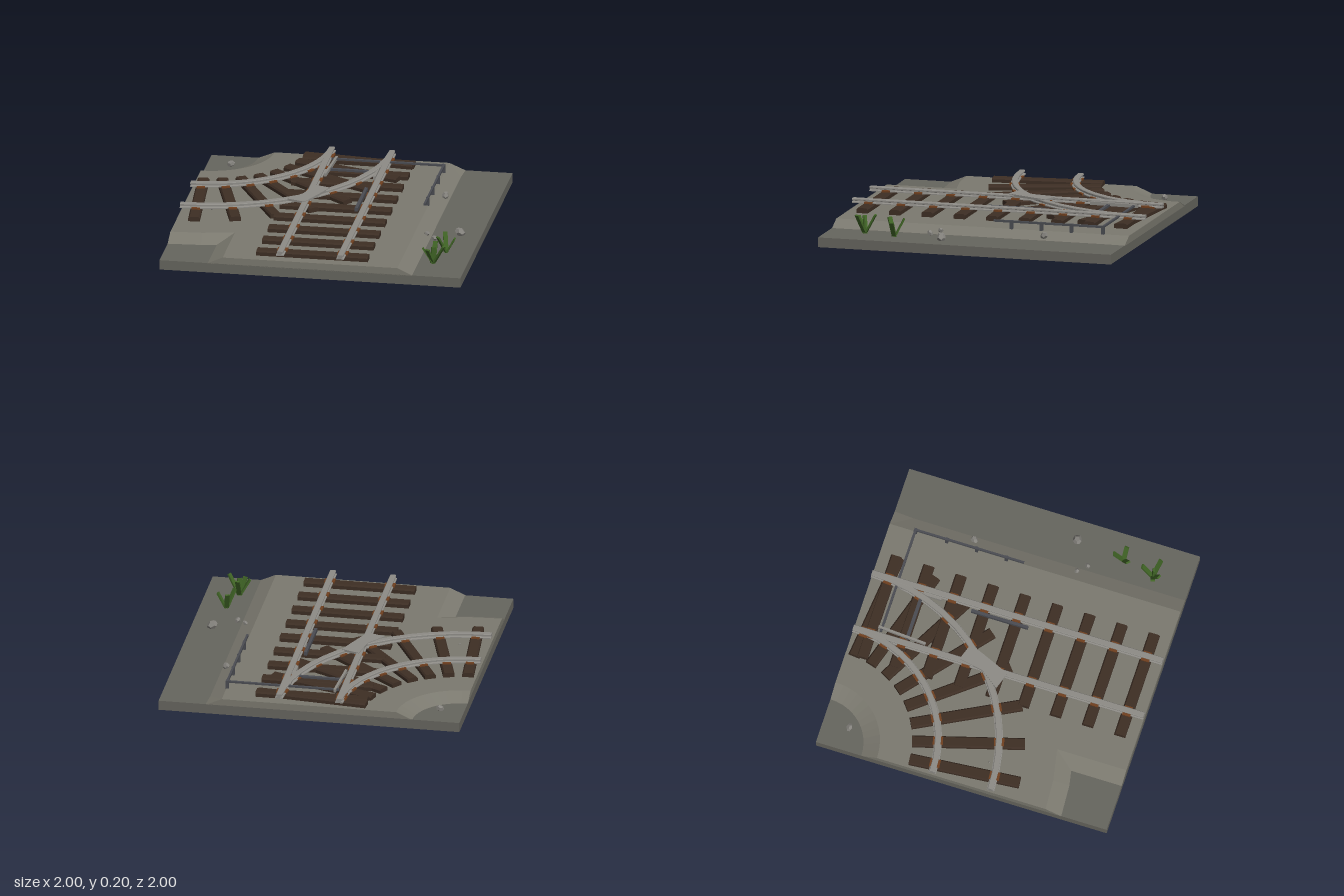
import * as THREE from 'three';

const material = (color) => new THREE.MeshStandardMaterial({ color, flatShading: true, side: THREE.DoubleSide });

export function createModel() {
  const model = new THREE.Group();
  const ground = material(0x66655e), gravel = material(0x7b796f), wood = material(0x3d2e24);
  const steel = material(0x8d8b86), rust = material(0x70401f), iron = material(0x4a4c52);
  const stone = material(0x85837e), leaf = material(0x3f6325);

  const add = (name, geometry, mat, x = 0, y = 0, z = 0, parent = model) => {
    const mesh = new THREE.Mesh(geometry, mat);
    mesh.name = name;
    mesh.position.set(x, y, z);
    parent.add(mesh);
    return mesh;
  };
  const box = (name, w, h, d, mat, x, y, z, parent) =>
    add(name, new THREE.BoxGeometry(w, h, d), mat, x, y, z, parent);
  // Closed outline pushed along z and centred
  const prism = (points, depth) => {
    const shape = new THREE.Shape(points.map(([x, y]) => new THREE.Vector2(x, y)));
    return new THREE.ExtrudeGeometry(shape, { depth, bevelEnabled: false }).translate(0, 0, -depth / 2);
  };
  // Quarter turn around the back left corner of the tile
  const quarter = (name, points, mat, segments) =>
    add(name, new THREE.LatheGeometry(points.map(([r, y]) => new THREE.Vector2(r, y)), segments, 0, Math.PI / 2),
      mat, -1, 0, -1);

  // Ground slab and the two gravel beds
  box('groundSlab', 2, 0.065, 2, ground, 0, 0.0325, 0);
  add('straightBed', prism([[-0.69, 0.06], [0.69, 0.06], [0.58, 0.11], [-0.58, 0.11]], 2), gravel);
  quarter('curvedBed', [[1.69, 0.064], [1.58, 0.11], [0.42, 0.11], [0.31, 0.064]], gravel, 12);
  // End walls of the curved bed
  const bedEnd = [[0.31, 0.06], [1.69, 0.06], [1.58, 0.11], [0.42, 0.11]];
  add('curvedBedEnd', prism(bedEnd, 0.004), gravel, -1, 0, -0.998);
  add('curvedBedEnd', prism(bedEnd, 0.004), gravel, -0.998, 0, -1).rotation.y = -Math.PI / 2;

  // Sleepers with chamfered edges, and a rusty plate under each rail
  const sleeperShape = prism([[-0.038, 0], [0.038, 0], [0.038, 0.024], [0.029, 0.034], [-0.029, 0.034], [-0.038, 0.024]], 0.74)
    .rotateY(Math.PI / 2);
  const sleeper = (name, x, y, z, turn) => {
    const group = new THREE.Group();
    group.name = name;
    group.position.set(x, y, z);
    group.rotation.y = turn;
    add('sleeperBeam', sleeperShape, wood, 0, 0, 0, group);
    for (const side of [-0.2, 0.2]) box('railPlate', 0.068, 0.014, 0.055, rust, side, 0.038, 0, group);
    model.add(group);
  };
  for (let i = 0; i < 9; i++) sleeper('straightSleeper', 0, 0.11, 0.887 - i * 0.2215, 0);
  for (let i = 0; i < 8; i++) {
    const a = THREE.MathUtils.degToRad(5 + i * 11.35);
    sleeper('curvedSleeper', -1 + Math.sin(a), 0.107, -1 + Math.cos(a), a - Math.PI / 2);
  }

  // Rails share one section: wide foot, thin web, rounded-off head
  const railSection = [[-0.026, 0.145], [0.026, 0.145], [0.026, 0.151], [0.01, 0.155], [0.01, 0.16], [0.02, 0.163],
    [0.02, 0.171], [0.016, 0.175], [-0.016, 0.175], [-0.02, 0.171], [-0.02, 0.163], [-0.01, 0.16], [-0.01, 0.155], [-0.026, 0.151]];
  for (const x of [-0.2, 0.2]) add('straightRail', prism(railSection, 2), steel, x);
  for (const r of [0.8, 1.2]) {
    quarter('curvedRail', [...railSection, railSection[0]].map(([x, y]) => [x + r, y - 0.001]), steel, 14);
    add('curvedRailEnd', prism(railSection, 0.004), steel, -0.998, -0.001, r - 1).rotation.y = -Math.PI / 2;
  }

  // Crossing plate where the rails meet
  const crossing = prism([[-0.2, 0.27], [-0.08, 0.23], [-0.12, 0.13], [-0.2, -0.06], [-0.32, -0.02], [-0.23, 0.1]], 0.014);
  add('crossingPlate', crossing.rotateX(-Math.PI / 2), steel, 0, 0.172, 0);

  // Guard rail, point blades and tie bar
  box('guardRail', 0.02, 0.025, 0.39, iron, 0.15, 0.157, -0.105);
  box('pointBlade', 0.016, 0.022, 0.33, steel, -0.152, 0.157, -0.68).rotation.y = -0.06;
  box('pointBlade', 0.016, 0.022, 0.3, steel, 0.165, 0.157, -0.66);
  box('tieBar', 0.34, 0.014, 0.022, iron, 0, 0.151, -0.642);

  // Control rod, its cross link and posts
  box('crossLink', 0.75, 0.012, 0.016, iron, 0.205, 0.158, -0.82);
  box('controlRod', 0.014, 0.014, 0.75, iron, 0.575, 0.158, -0.45);
  for (const z of [-0.82, -0.605, -0.4, -0.195]) box('rodPost', 0.02, 0.058, 0.02, iron, 0.575, 0.137, z);

  // Loose stones
  const stones = [[-0.84, 0.08, -0.82, 0.028], [0.65, 0.092, -0.44, 0.03], [0.86, 0.085, 0.2, 0.038],
    [0.65, 0.086, 0.265, 0.021], [0.71, 0.078, 0.32, 0.023], [-0.8, 0.112, 0.13, 0.008]];
  stones.forEach(([x, y, z, size], i) => {
    const rock = add('stone', new THREE.DodecahedronGeometry(size, 0), stone, x, y, z);
    rock.scale.set(1, 0.8, 0.75);
    rock.rotation.set(i * 0.7, i * 1.3, 0.3);
  });

  // Grass tufts: each blade leans out along its heading [heading, lean, length]
  const tuft = (x, z, blades) => {
    const group = new THREE.Group();
    group.name = 'grassTuft';
    group.position.set(x, 0.06, z);
    for (const [heading, lean, length] of blades) {
      const blade = add('grassBlade', new THREE.BoxGeometry(0.03, length, 0.012).translate(0, length / 2, 0), leaf, 0, 0, 0, group);
      blade.rotation.set(lean, heading, 0, 'YXZ');
    }
    model.add(group);
  };
  tuft(0.775, 0.745, [[3.1, 0.5, 0.15], [-1.25, 0.55, 0.13], [1.15, 0.55, 0.16], [-0.5, 0.5, 0.13], [0.4, 0.08, 0.12]]);
  tuft(0.825, 0.53, [[-2.85, 0.48, 0.14], [1.5, 0.5, 0.12], [-0.8, 0.5, 0.14]]);
  return model;
}
